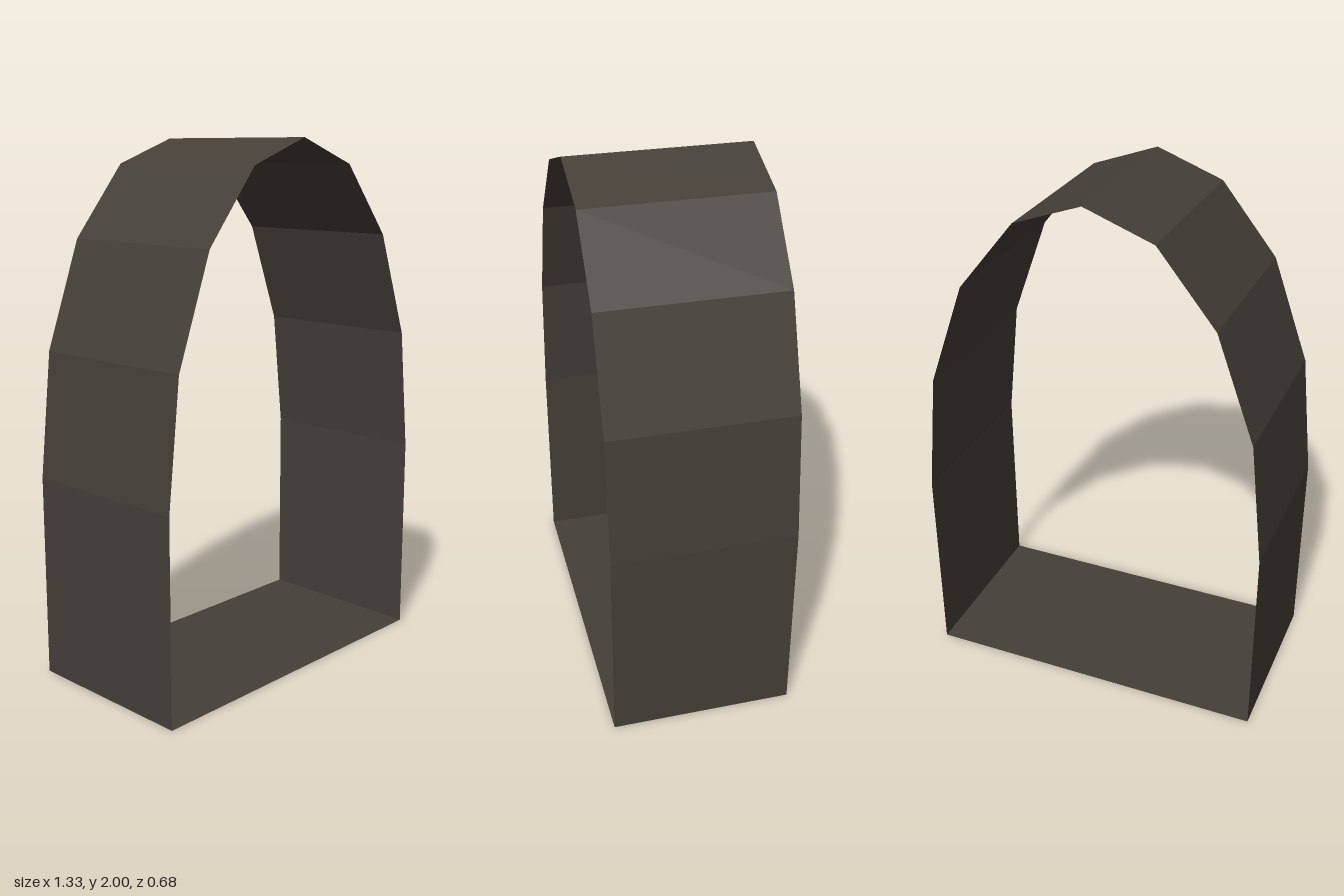
import * as THREE from 'three';

const HALF_WIDTH = 0.667, HALF_DEPTH = 0.342, SPRING = 0.77, HEIGHT = 2, SEGMENTS = 8;

// Thin sheet swept along z from an open outline in the xy plane, with flat facets
function sheet(name, points, material) {
  const pos = [];
  for (let i = 0; i < points.length - 1; i++) {
    const [ax, ay] = points[i], [bx, by] = points[i + 1];
    const a = [ax, ay, HALF_DEPTH], b = [bx, by, HALF_DEPTH];
    const c = [bx, by, -HALF_DEPTH], d = [ax, ay, -HALF_DEPTH];
    pos.push(...a, ...b, ...c, ...a, ...c, ...d);
  }
  const geometry = new THREE.BufferGeometry();
  geometry.setAttribute('position', new THREE.Float32BufferAttribute(pos, 3));
  geometry.computeVertexNormals();
  const mesh = new THREE.Mesh(geometry, material);
  mesh.name = name;
  return mesh;
}

export function createModel() {
  const group = new THREE.Group();
  group.name = 'archedPassage';
  const stone = new THREE.MeshStandardMaterial({ color: 0x453f38 });
  stone.name = 'dark stone';
  stone.side = THREE.DoubleSide;
  stone.flatShading = true;

  // Half-ellipse vault from left to right
  const vault = [];
  for (let i = 0; i <= SEGMENTS; i++) {
    const a = Math.PI * (1 - i / SEGMENTS);
    vault.push([HALF_WIDTH * Math.cos(a), SPRING + (HEIGHT - SPRING) * Math.sin(a)]);
  }
  group.add(sheet('vault', vault, stone));

  // Upright side walls and floor, outward facing
  group.add(sheet('rightWall', [[-HALF_WIDTH, 0], [-HALF_WIDTH, SPRING]], stone));
  group.add(sheet('leftWall', [[HALF_WIDTH, SPRING], [HALF_WIDTH, 0]], stone));
  group.add(sheet('floor', [[-HALF_WIDTH, 0], [HALF_WIDTH, 0]], stone));
  return group;
}
